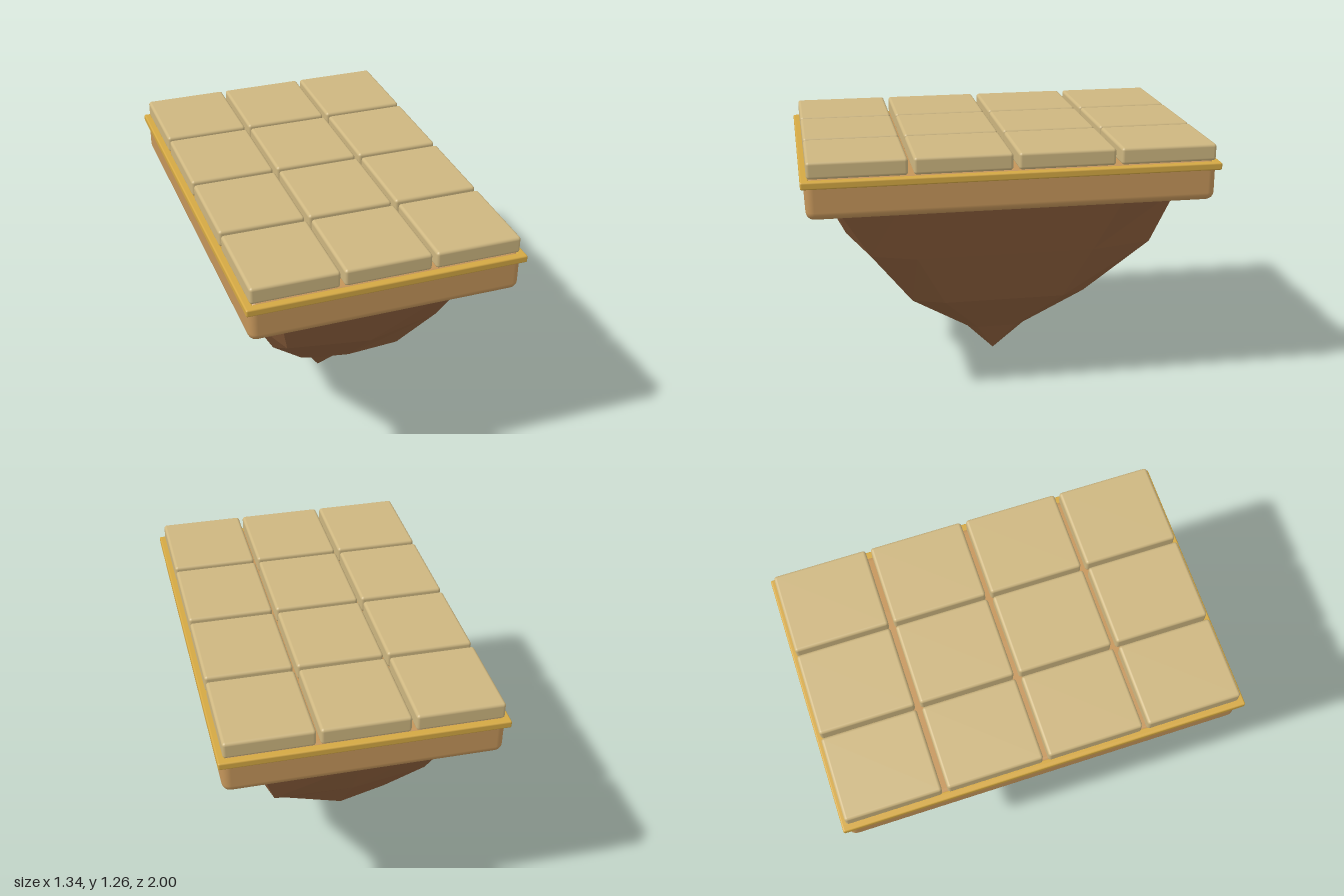
import * as THREE from 'three';
import { RoundedBoxGeometry } from 'three/addons/geometries/RoundedBoxGeometry.js';

const mat = (color, extra = {}) => new THREE.MeshStandardMaterial({ color, ...extra });

function roundedBox(name, size, radius, material, pos) {
  const mesh = new THREE.Mesh(new RoundedBoxGeometry(...size, 3, radius), material);
  mesh.name = name;
  mesh.position.set(...pos);
  return mesh;
}

// Faceted rock: ten-sided rings lofted from the slab down to a point
function rockGeometry() {
  // each ring runs front middle -> right -> back -> left, as x, z pairs
  const rings = [
    [0.99, [0, 0.92, 0.47, 0.84, 0.575, 0.55, 0.575, -0.55, 0.47, -0.84, 0, -0.92, -0.47, -0.84, -0.58, -0.55, -0.58, 0.55, -0.47, 0.84]],
    [0.70, [0, 0.77, 0.38, 0.67, 0.46, 0.45, 0.46, -0.43, 0.38, -0.74, 0, -0.75, -0.38, -0.68, -0.49, -0.45, -0.49, 0.45, -0.395, 0.70]],
    [0.41, [0, 0.48, 0.27, 0.46, 0.33, 0.30, 0.33, -0.31, 0.27, -0.43, 0, -0.52, -0.25, -0.45, -0.345, -0.30, -0.345, 0.30, -0.235, 0.43]],
    [0.17, [0, 0.165, 0.08, 0.15, 0.11, 0.10, 0.11, -0.10, 0.08, -0.15, 0, -0.18, -0.08, -0.15, -0.10, -0.10, -0.10, 0.10, -0.08, 0.15]],
  ];
  const n = 10, pos = [], index = [];
  for (const [y, p] of rings)
    for (let i = 0; i < n; i++) pos.push(p[2 * i], y, p[2 * i + 1]);
  const tip = rings.length * n;
  pos.push(0, 0, 0, 0, 0.99, 0);
  for (let i = 0; i < n; i++) {
    const j = (i + 1) % n;
    for (let r = 0; r < rings.length - 1; r++) {
      const up = r * n, low = up + n;
      index.push(low + i, low + j, up + j, low + i, up + j, up + i);
    }
    index.push(tip, tip - n + j, tip - n + i); // point
    index.push(tip + 1, i, j);                 // lid under the slab
  }
  const g = new THREE.BufferGeometry();
  g.setAttribute('position', new THREE.Float32BufferAttribute(pos, 3));
  g.setIndex(index);
  g.computeVertexNormals();
  return g;
}

export function createModel() {
  const model = new THREE.Group();
  model.name = 'floatingPlatform';
  const slabMat = mat(0xc4955a), trimMat = mat(0xd4a843), tileMat = mat(0xcdb680);

  // Hanging rock
  const rock = new THREE.Mesh(rockGeometry(), mat(0x8b5e3c, { flatShading: true }));
  rock.name = 'rock';
  model.add(rock);

  // Platform slab
  model.add(roundedBox('slab', [1.306, 0.197, 1.96], 0.04, slabMat, [0, 1.0835, 0]));

  // Trim frame round the upper edge
  const trim = new THREE.Group();
  trim.name = 'trim';
  for (const s of [-1, 1]) {
    trim.add(roundedBox('sideTrim', [0.04, 0.036, 2], 0.008, trimMat, [s * 0.65, 1.16, 0]));
    trim.add(roundedBox('endTrim', [1.34, 0.036, 0.04], 0.008, trimMat, [0, 1.16, s * 0.98]));
  }
  model.add(trim);

  // Paving tiles, three by four
  const tiles = new THREE.Group();
  tiles.name = 'tiles';
  for (let i = 0; i < 3; i++)
    for (let j = 0; j < 4; j++)
      tiles.add(roundedBox('tile', [0.416, 0.083, 0.467], 0.015, tileMat,
        [(i - 1) * 0.436, 1.2235, (j - 1.5) * 0.4935 - 0.003]));
  model.add(tiles);

  return model;
}
